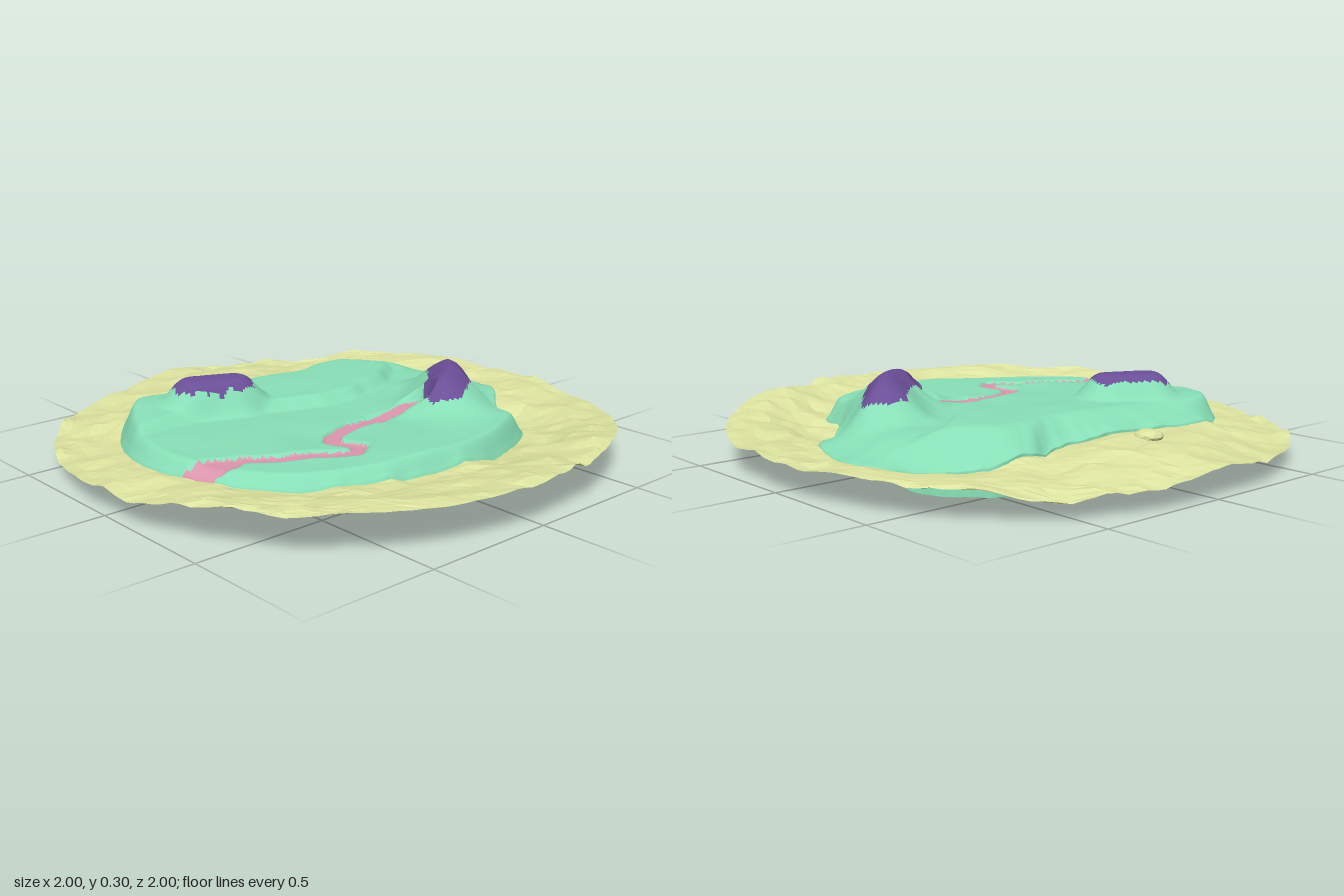
import * as THREE from 'three';

const { lerp, smoothstep } = THREE.MathUtils;
const V2 = (x, z) => new THREE.Vector2(x, z);

const sandMat = new THREE.MeshStandardMaterial({ color: 0xdce29e, flatShading: true, side: THREE.DoubleSide });
sandMat.name = 'sand';
const grassMat = new THREE.MeshStandardMaterial({ color: 0x87dfb6, side: THREE.DoubleSide });
grassMat.name = 'grass green';
const peakMat = new THREE.MeshStandardMaterial({ color: 0x6b4f98, side: THREE.DoubleSide });
peakMat.name = 'peak purple';
const riverMat = new THREE.MeshStandardMaterial({ color: 0xda95ad, side: THREE.DoubleSide });
riverMat.name = 'river pink';

// Seeded value noise in -1..1
function hash(i, j) {
  const s = Math.sin(i * 127.1 + j * 311.7 + 4.2) * 43758.5453;
  return (s - Math.floor(s)) * 2 - 1;
}
function noise(x, z) {
  const i = Math.floor(x), j = Math.floor(z);
  const u = smoothstep(x - i, 0, 1), v = smoothstep(z - j, 0, 1);
  return lerp(lerp(hash(i, j), hash(i + 1, j), u), lerp(hash(i, j + 1), hash(i + 1, j + 1), u), v);
}

// Distance from a point to a polyline
function distTo(path, x, z) {
  let best = 9;
  for (let i = 0; i < path.length - 1; i++) {
    const a = path[i], b = path[i + 1], dx = b.x - a.x, dz = b.y - a.y;
    const t = THREE.MathUtils.clamp(((x - a.x) * dx + (z - a.y) * dz) / (dx * dx + dz * dz), 0, 1);
    best = Math.min(best, Math.hypot(x - a.x - t * dx, z - a.y - t * dz));
  }
  return best;
}

// Sand heights every 30 degrees from +x toward +z: near the shore and at the rim
const shoreHeights = [0.105, 0.11, 0.11, 0.11, 0.11, 0.125, 0.15, 0.105, 0.075, 0.085, 0.065, 0.08];
const rimHeights = [0.15, 0.155, 0.14, 0.095, 0.058, 0.07, 0.09, 0.07, 0.11, 0.1, 0.1, 0.155];
function around(table, x, z) {
  const a = ((Math.atan2(z, x) / (Math.PI * 2) + 1) % 1) * 12;
  const i = Math.floor(a) % 12;
  return lerp(table[i], table[(i + 1) % 12], smoothstep(a - Math.floor(a), 0, 1));
}
function sandHeight(x, z) {
  const r = Math.hypot(x, z);
  const inner = lerp(0.05, around(shoreHeights, x, z), smoothstep(r, 0.2, 0.6));
  const base = lerp(inner, around(rimHeights, x, z), smoothstep(r, 0.62, 1));
  return base + 0.014 * noise(x * 6 + 3, z * 7) + 0.01 * noise(x * 15, z * 17 + 7);
}

// Island shoreline, seen from above
const shore = new THREE.CatmullRomCurve3([
  [0.65, -0.02], [0.62, 0.2], [0.55, 0.42], [0.45, 0.6], [0.3, 0.72], [0.1, 0.78], [-0.1, 0.79],
  [-0.3, 0.73], [-0.46, 0.63], [-0.54, 0.52], [-0.56, 0.4], [-0.55, 0.25], [-0.53, 0.1], [-0.51, -0.05],
  [-0.49, -0.2], [-0.53, -0.34], [-0.51, -0.5], [-0.42, -0.6], [-0.33, -0.74], [-0.17, -0.81],
  [-0.03, -0.8], [0.12, -0.75], [0.2, -0.67], [0.35, -0.54], [0.46, -0.44], [0.51, -0.46], [0.62, -0.25],
].map(([x, z]) => new THREE.Vector3(x, 0, z)), true);

const lowRidge = [V2(-0.25, 0.28), V2(-0.31, 0.41)];
const highRidge = [V2(0.12, -0.475), V2(0.23, -0.38), V2(0.3, -0.265)];
const river = [[0.22, -0.2], [0.2, -0.14], [0.2, 0.1], [0.23, 0.21], [0.27, 0.255], [0.38, 0.225],
  [0.42, 0.28], [0.34, 0.39], [0.3, 0.5], [0.22, 0.6], [0.19, 0.76]].map(p => V2(...p));
const riverWidth = z => 0.024 + 0.03 * smoothstep(z, 0.6, 0.7) + 0.022 * (1 - smoothstep(z, -0.2, -0.13));

// Island ground: a low plain, a left terrace, two hills and a shallow river bed
function groundHeight(x, z) {
  const step = -0.05 - 0.9 * Math.min((z + 0.08) ** 2, 0.18) + 0.01 * noise(z * 14, 2);
  const terrace = (1 - smoothstep(x, step - 0.04, step + 0.03)) * (1 - smoothstep(z, 0.55, 0.85))
    * smoothstep(z, -0.75, -0.4);
  let y = 0.16 + 0.037 * terrace + 0.015 * smoothstep(x, 0.25, 0.5) * (1 - smoothstep(z, 0, 0.4));
  y -= 0.035 * (1 - smoothstep(z, -0.8, -0.5));
  y += 0.004 * noise(x * 7, z * 7);
  const bed = y - 0.012 + 0.02 * (1 - smoothstep(z, -0.2, 0));
  y = lerp(y, 0.28, 1 - smoothstep(distTo(lowRidge, x, z), 0.035, 0.145));
  const d = distTo(highRidge, x, z) * (1 + 0.12 * noise(x * 9, z * 9));
  const top = 0.309 - 0.9 * Math.hypot(x - 0.22, z + 0.36) ** 2;
  y = lerp(y, top, 1 - smoothstep(d, -0.03, 0.23));
  const w = riverWidth(z);
  return lerp(bed, y, smoothstep(distTo(river, x, z), w, w + (z < 0 ? 0.03 : 0.012)));
}

// Picks the surface: 0 grass, 1 peak, 2 river
function surfaceAt(x, z) {
  const ragged = 0.012 * noise(x * 30, z * 30);
  if (distTo(lowRidge, x, z) < 0.077 + ragged || distTo(highRidge, x, z) < 0.085 + ragged) return 1;
  return distTo(river, x, z) < riverWidth(z) + 0.004 ? 2 : 0;
}

// Sand disc: a square grid bent to a slightly squared circle
function makeSand() {
  const n = 44;
  const geo = new THREE.PlaneGeometry(2, 2, n, n).rotateX(-Math.PI / 2);
  const pos = geo.attributes.position;
  for (let i = 0; i < pos.count; i++) {
    let u = pos.getX(i), v = pos.getZ(i);
    if (Math.max(Math.abs(u), Math.abs(v)) < 0.99) {
      u += hash(i, 11) * 0.4 / n;
      v += hash(i, 37) * 0.4 / n;
    }
    const x = u * Math.sqrt(1 - v * v / 2), z = v * Math.sqrt(1 - u * u / 2);
    const bulge = 1 + 0.03 * Math.sin(2 * Math.atan2(z, x)) ** 2;
    pos.setXYZ(i, x * bulge, sandHeight(x * bulge, z * bulge), z * bulge);
  }
  geo.computeVertexNormals();
  return new THREE.Mesh(geo, sandMat);
}

// Island: rings scaled from the shoreline, closed by a skirt
function makeIsland() {
  const rings = 90, seg = 280, pos = [], faces = [[], [], []];
  const edge = shore.getSpacedPoints(seg);
  for (let i = 0; i <= rings + 1; i++) for (let j = 0; j < seg; j++) {
    const p = edge[j], t = Math.min(i / rings, 1);
    // the left and back shores are gentle; the left one is ragged and its skirt hangs below the sand
    const left = 1 - smoothstep(p.x, -0.42, -0.25);
    const ragged = left * (1 - smoothstep(p.z, 0.1, 0.35));
    const gentle = Math.max(left * (1 - smoothstep(p.z, 0.4, 0.6)), 1 - smoothstep(p.z, -0.55, -0.42));
    const k = t * (1 + 0.02 * ragged * t * t * noise(p.z * 30, p.x * 30)) + (i > rings ? 0.006 : 0);
    const x = p.x * k, z = p.z * k;
    const shoreY = sandHeight(p.x, p.z) + 0.006;
    const slope = smoothstep(1 - t, 0, 0.07 + 0.2 * gentle);
    let y = lerp(shoreY, groundHeight(x, z), Math.pow(slope, 0.7));
    if (i > rings) y = lerp(shoreY - 0.012, 0.05 * smoothstep(p.z, -0.45, 0.1), ragged);
    pos.push(x, y, z);
  }
  const id = (i, j) => i * seg + (j % seg);
  for (let i = 0; i <= rings; i++) for (let j = 0; j < seg; j++) {
    const a = id(i, j), b = id(i + 1, j), c = id(i + 1, j + 1), d = id(i, j + 1);
    const kind = surfaceAt((pos[a * 3] + pos[c * 3]) / 2, (pos[a * 3 + 2] + pos[c * 3 + 2]) / 2);
    faces[kind].push(a, c, b);
    if (i > 0) faces[kind].push(a, d, c);
  }
  const geo = new THREE.BufferGeometry();
  geo.setAttribute('position', new THREE.Float32BufferAttribute(pos, 3));
  geo.setIndex(faces.flat());
  let start = 0;
  faces.forEach((f, m) => {
    geo.addGroup(start, f.length, m);
    start += f.length;
  });
  geo.computeVertexNormals();
  return new THREE.Mesh(geo, [grassMat, peakMat, riverMat]);
}

export function createModel() {
  const model = new THREE.Group();
  model.name = 'islandTerrain';
  const sand = makeSand();
  sand.name = 'sandSheet';
  const island = makeIsland();
  island.name = 'island';
  // Small boulder on the left shore
  const rock = new THREE.Mesh(new THREE.IcosahedronGeometry(0.052, 1), sandMat);
  rock.name = 'boulder';
  rock.scale.y = 0.45;
  rock.position.set(-0.63, sandHeight(-0.63, 0.08) + 0.002, 0.08);
  model.add(sand, island, rock);
  return model;
}
